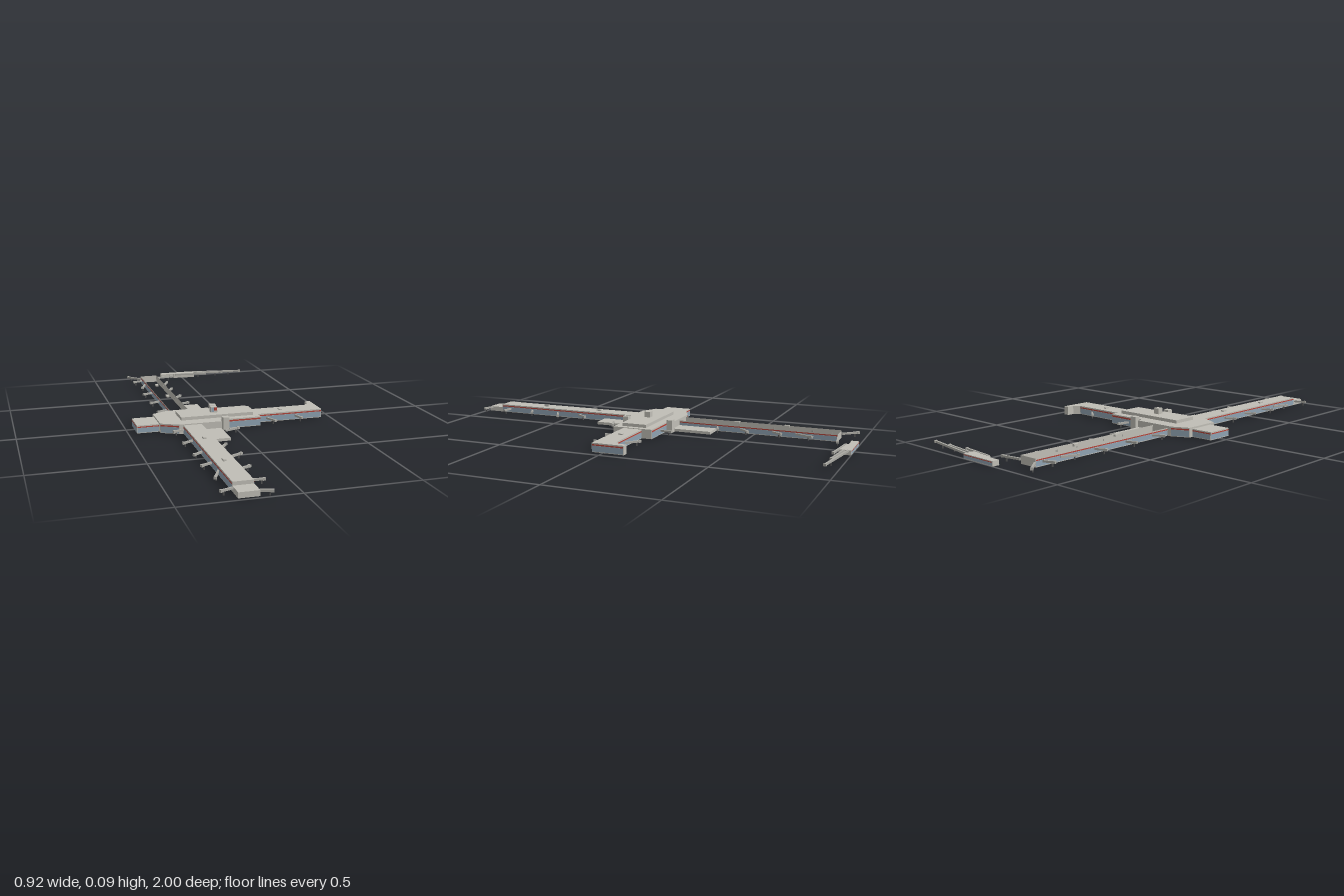
import * as THREE from 'three';

const mat = (name, color) => {
  const m = new THREE.MeshStandardMaterial({ color, side: THREE.DoubleSide });
  m.name = name;
  return m;
};

export function createModel() {
  const root = new THREE.Group();
  root.name = 'airportTerminal';
  const grey = mat('concreteGrey', 0xc0beb6);
  const glass = mat('glassBlue', 0x8fa3b2);
  const red = mat('stripeRed', 0xb5443a);
  const bridgeGrey = mat('bridgeGrey', 0xaaa9a3);
  const dark = mat('undercarriageDark', 0x555555);

  const add = (parent, name, geo, material, x = 0, y = 0, z = 0, ry = 0) => {
    const m = new THREE.Mesh(geo, material);
    m.name = name;
    m.position.set(x, y, z);
    m.rotation.y = ry;
    parent.add(m);
    return m;
  };
  const box = (name, x0, x1, y0, y1, z0, z1, material = grey) =>
    add(root, name, new THREE.BoxGeometry(x1 - x0, y1 - y0, z1 - z0), material,
      (x0 + x1) / 2, (y0 + y1) / 2, (z0 + z1) / 2);

  // Open-bottomed shell: points run west to east along the front, then north.
  // glazed lists the edges with a window band and stripe; skip lists open edges.
  const shell = (name, pts, h, { glazed = [], skip = [], roof = true, y0 = 0 } = {}) => {
    const g = new THREE.Group();
    g.name = name;
    root.add(g);
    pts.forEach(([ax, az], i) => {
      if (skip.includes(i)) return;
      const [bx, bz] = pts[(i + 1) % pts.length];
      const len = Math.hypot(bx - ax, bz - az);
      const nx = -(bz - az) / len, nz = (bx - ax) / len;
      const strip = (part, material, lo, hi, off, inset) => add(g, part,
        new THREE.PlaneGeometry(len - inset, hi - lo), material,
        (ax + bx) / 2 + nx * off, (lo + hi) / 2, (az + bz) / 2 + nz * off, Math.atan2(nx, nz));
      strip('wall', grey, y0, h, 0, 0);
      if (glazed.includes(i)) {
        strip('windowBand', glass, 0.003, h * 0.7, 0.001, 0.004);
        strip('redStripe', red, h * 0.72, h * 0.86, 0.0012, 0.004);
      }
    });
    if (roof) {
      const s = new THREE.Shape(pts.map(([x, z]) => new THREE.Vector2(x, -z)));
      add(g, 'roof', new THREE.ShapeGeometry(s).rotateX(-Math.PI / 2), grey, 0, h, 0);
    }
  };
  const rect = (x0, x1, z0, z1) => [[x0, z1], [x1, z1], [x1, z0], [x0, z0]];

  // Central hall with chamfered west end
  shell('mainHall', [
    [-0.355, 0.09], [-0.275, 0.132], [-0.072, 0.132], [-0.072, 0.105], [0.127, 0.105],
    [0.127, -0.09], [-0.072, -0.09], [-0.072, -0.117], [-0.275, -0.117], [-0.355, -0.08],
  ], 0.045, { glazed: [0, 3, 5, 8] });
  add(root, 'hallFrontGlass', new THREE.PlaneGeometry(0.195, 0.028), glass, 0.028, 0.017, 0.1062);
  add(root, 'hallFrontStripe', new THREE.PlaneGeometry(0.195, 0.007), red, 0.028, 0.036, 0.1064);
  add(root, 'hallBackGlass', new THREE.PlaneGeometry(0.195, 0.028), glass, 0.028, 0.017, -0.0912);
  add(root, 'hallBackStripe', new THREE.PlaneGeometry(0.195, 0.007), red, 0.028, 0.036, -0.0914);
  shell('upperRoof', rect(-0.25, 0.1, -0.05, 0.07), 0.06, { y0: 0.045 });

  // Control tower with painted front
  box('controlTower', -0.095, -0.065, 0.06, 0.087, 0, 0.03);
  box('towerGlass', -0.094, -0.081, 0.064, 0.084, 0.03, 0.031, glass);
  box('towerSign', -0.08, -0.067, 0.07, 0.085, 0.03, 0.031, red);

  // Stair cores at the hall corners
  box('frontStairCore', -0.065, -0.035, 0, 0.061, 0.104, 0.132);
  box('backStairCore', -0.065, -0.035, 0, 0.061, -0.128, -0.1);

  // West and east wings
  shell('westWing', rect(-0.46, -0.355, -0.06, 0.068), 0.037, { glazed: [0, 2, 3], skip: [1] });
  shell('eastWing', [
    [0.127, 0.054], [0.457, 0.054], [0.457, -0.1], [0.43, -0.1],
    [0.43, -0.065], [0.405, -0.04], [0.127, -0.04],
  ], 0.042, { glazed: [0, 1, 5], skip: [6] });

  // South pier, its lower end, and the unroofed north pier
  shell('southPier', rect(-0.255, -0.168, 0.132, 0.908), 0.04, { glazed: [1, 3], skip: [2] });
  shell('southPierEnd', rect(-0.255, -0.168, 0.908, 0.982), 0.024, { skip: [2] });
  shell('northPier', rect(-0.255, -0.165, -0.895, -0.117), 0.036,
    { glazed: [1, 3], skip: [0], roof: false });

  // Low blocks beside the piers
  shell('southBlock', rect(-0.165, -0.075, 0.132, 0.292), 0.013);
  shell('northBlock', rect(-0.165, -0.075, -0.308, -0.117), 0.013);

  // Remote building at the north end
  shell('remoteBuilding', [
    [-0.12, -0.967], [-0.05, -0.967], [-0.05, -0.955], [0.07, -0.945], [0.07, -1], [-0.12, -1],
  ], 0.022, { glazed: [4] });

  // Rooftop vents
  for (const [x, z] of [[-0.215, 0.35], [-0.215, 0.66], [-0.21, -0.4], [-0.215, -0.645], [0.26, 0.005]])
    box('roofVent', x - 0.007, x + 0.007, 0.037, 0.047, z - 0.012, z + 0.012);

  // Boarding bridges: [root x, root z, tip x, tip z]
  const bridges = [
    [-0.255, -0.855, -0.307, -0.838], [-0.255, -0.765, -0.286, -0.69], [-0.255, -0.574, -0.307, -0.553],
    [-0.255, -0.389, -0.307, -0.373], [-0.255, -0.22, -0.307, -0.193],
    [-0.165, -0.701, -0.127, -0.786], [-0.165, -0.59, -0.132, -0.638], [-0.165, -0.431, -0.122, -0.479],
    [-0.165, -0.315, -0.116, -0.331], [-0.255, -0.897, -0.317, -0.966], [-0.165, -0.897, -0.069, -0.913],
    [-0.168, 0.447, -0.127, 0.389], [-0.168, 0.569, -0.1, 0.532], [-0.168, 0.722, -0.116, 0.696],
    [-0.168, 0.855, -0.106, 0.86], [-0.168, 0.971, -0.116, 0.988],
    [-0.255, 0.135, -0.307, 0.151], [-0.255, 0.304, -0.307, 0.331], [-0.255, 0.468, -0.302, 0.5],
    [-0.255, 0.616, -0.307, 0.643], [-0.255, 0.717, -0.291, 0.796], [-0.255, 0.918, -0.312, 0.939],
    [-0.075, 0.2, -0.001, 0.172], [0.016, -0.09, 0.026, -0.15], [0.317, -0.04, 0.259, -0.093],
    [0.175, 0.054, 0.201, 0.114], [0.323, 0.054, 0.339, 0.103],
    [0.07, -0.987, 0.35, -0.945], [0.07, -0.968, 0.243, -0.948], [-0.04, -0.955, 0.138, -0.935],
  ];
  for (const [ax, az, bx, bz] of bridges) {
    const len = Math.hypot(bx - ax, bz - az);
    const g = new THREE.Group();
    g.name = 'boardingBridge';
    g.position.set(ax, 0, az);
    g.rotation.y = Math.atan2(bx - ax, bz - az);
    root.add(g);
    add(g, 'tunnel', new THREE.BoxGeometry(0.009, 0.009, len), bridgeGrey, 0, 0.0195, len / 2);
    add(g, 'cab', new THREE.BoxGeometry(0.012, 0.011, 0.012), bridgeGrey, 0, 0.0195, len - 0.005);
    add(g, 'leg', new THREE.BoxGeometry(0.005, 0.015, 0.005), dark, 0, 0.0075, len * 0.75);
  }
  return root;
}
